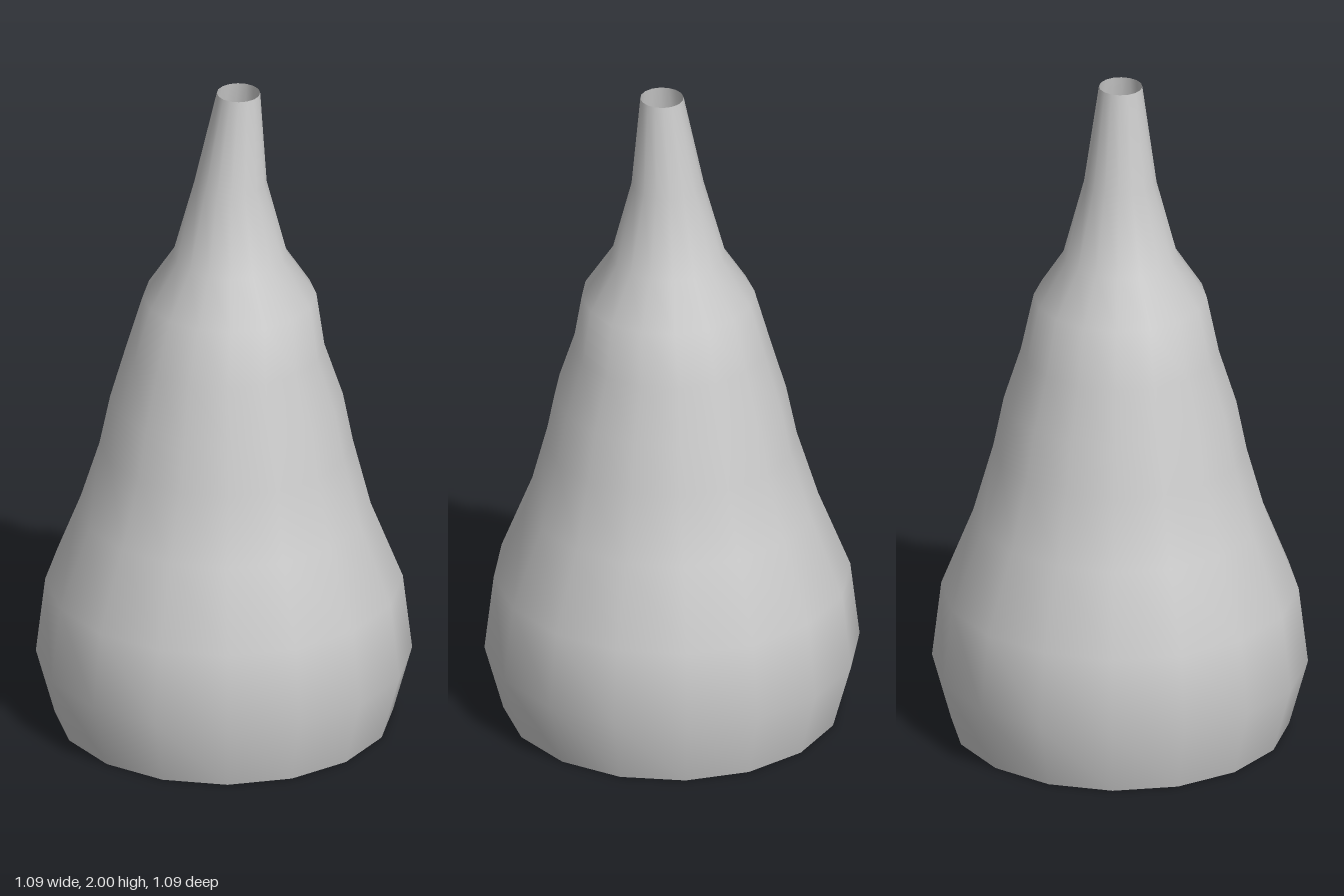
import * as THREE from 'three';

// Cross-section rings: height, radius, sideways shift of the centre
const RINGS = [
  [0, 0.49, 0], [0.2, 0.545, 0], [0.43, 0.518, 0], [0.665, 0.425, 0],
  [0.87, 0.367, 0.007], [1.02, 0.337, 0.008], [1.18, 0.287, 0.004],
  [1.345, 0.251, 0.018], [1.475, 0.167, 0.018], [1.71, 0.105, 0.02], [2, 0.063, 0.045],
];

export function createModel() {
  const group = new THREE.Group();
  const grey = new THREE.MeshStandardMaterial({ color: 0xcccccc, side: THREE.DoubleSide });
  grey.name = 'light grey';

  // Open sixteen-sided shell, its neck leaning to one side
  const geometry = new THREE.LatheGeometry(RINGS.map(([y, r]) => new THREE.Vector2(r, y)), 16);
  const position = geometry.attributes.position;
  for (let i = 0; i < position.count; i++) {
    position.setX(i, position.getX(i) + RINGS[i % RINGS.length][2]);
  }

  const shell = new THREE.Mesh(geometry, grey);
  shell.name = 'taperedShell';
  group.add(shell);
  return group;
}
